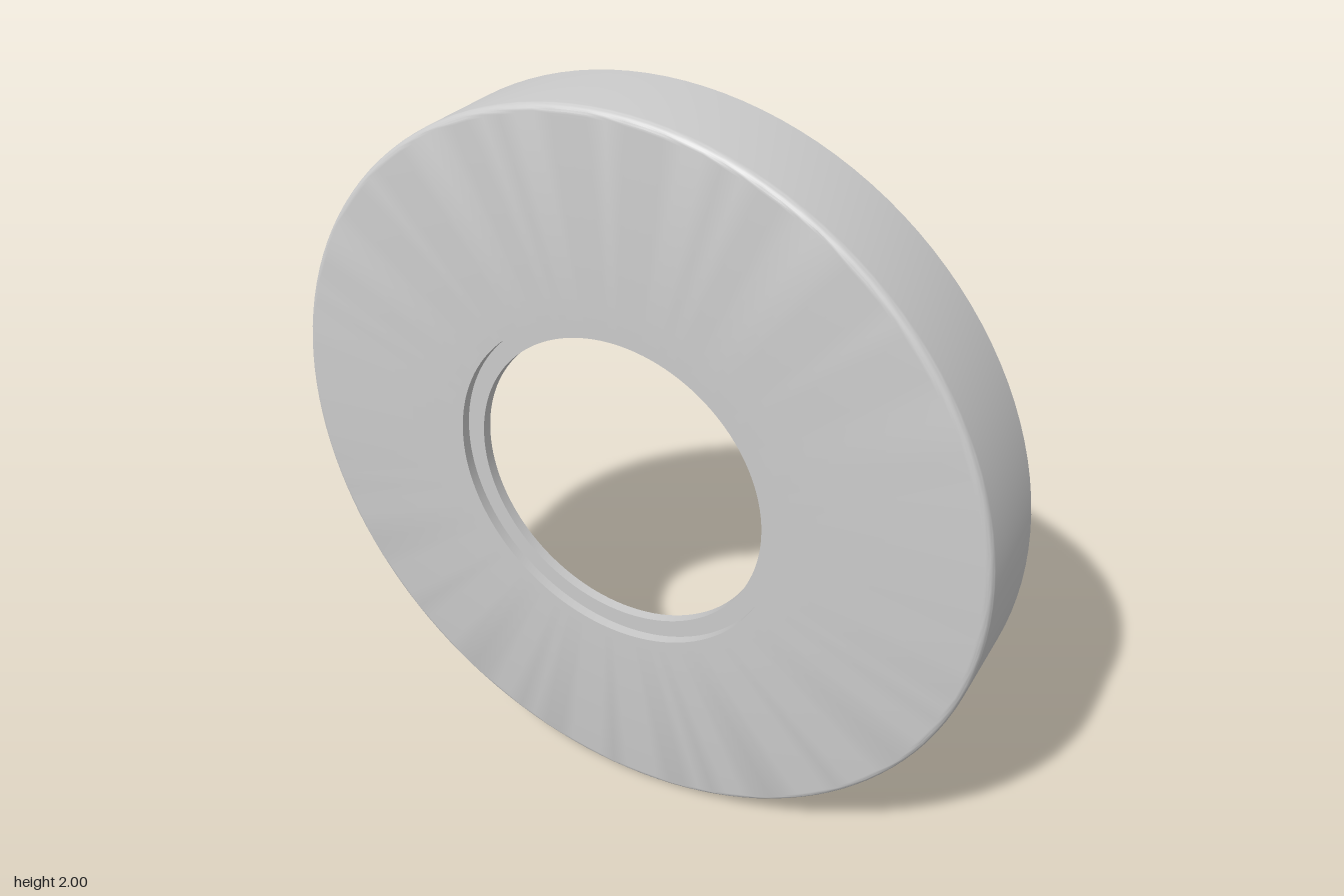
import * as THREE from 'three';
import { toCreasedNormals } from 'three/addons/utils/BufferGeometryUtils.js';

export function createModel() {
  const group = new THREE.Group();
  const half = 0.13;       // half the depth
  const outer = 1;         // outer radius
  const wall = 0.95;       // inside radius of the rim wall
  const bore = 0.417;      // through hole
  const recess = 0.467;    // counterbore in the front face
  const floorZ = 0.075;    // back of the plate
  const stepZ = 0.103;     // bottom of the counterbore
  const fillet = 0.02;     // rounded front edge

  // Closed cross-section (radius, depth), starting at the back rim
  const profile = [new THREE.Vector2(wall, -half), new THREE.Vector2(outer, -half)];
  for (let i = 0; i <= 6; i++) {
    const a = (i / 6) * Math.PI / 2;
    profile.push(new THREE.Vector2(
      outer - fillet + fillet * Math.cos(a),
      half - fillet + fillet * Math.sin(a)
    ));
  }
  profile.push(
    new THREE.Vector2(recess, half),
    new THREE.Vector2(recess, stepZ),
    new THREE.Vector2(bore, stepZ),
    new THREE.Vector2(bore, floorZ),
    new THREE.Vector2(wall, floorZ),
    new THREE.Vector2(wall, -half)
  );

  // Turned cap, its axis laid along z and its rim standing on the ground
  const geometry = toCreasedNormals(new THREE.LatheGeometry(profile, 128), Math.PI / 6);
  geometry.rotateX(Math.PI / 2);
  const cap = new THREE.Mesh(geometry, new THREE.MeshStandardMaterial({ color: 0xcccccc }));
  cap.name = 'flangedRingCap';
  cap.position.y = outer;
  group.add(cap);
  return group;
}
